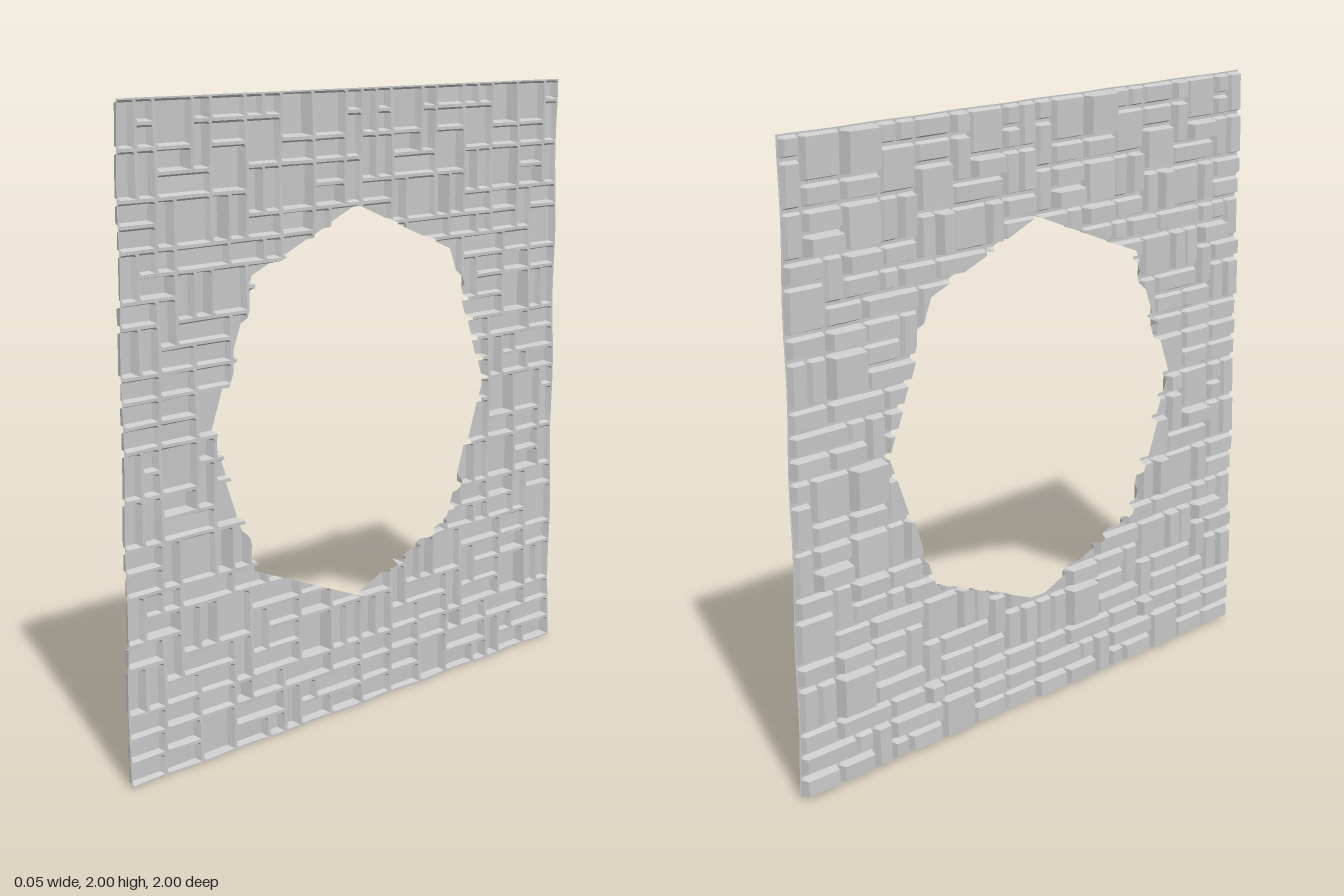
import * as THREE from 'three';

const CELLS = 14;                    // stone cells per repeat; the wall repeats 2 x 2
const CUTS = [0, 0.07, 0.17, 0.83, 0.93]; // grid lines per cell: joint, bevel, face
const SHIFT = 0.003;

// Boldest stones: [column (z), row (y), width, height, face x]
const BOLD = [
  [3, 12, 2, 2, -0.028], [8, 8, 1, 2, -0.028], [1, 9, 2, 1, -0.027],
  [3, 8, 2, 1, -0.023], [2, 3, 2, 2, -0.027], [7, 2, 1, 1, -0.025],
  [10, 11, 2, 1, -0.028], [2, 5, 2, 1, -0.023], [11, 6, 2, 1, -0.026],
];

function seeded(seed) {
  return () => {
    seed = (seed * 16807) % 2147483647;
    return seed / 2147483647;
  };
}

// Fill one square repeat with stones of one to four cells
function layStones() {
  const rand = seeded(4127);
  const owner = new Array(CELLS * CELLS).fill(null);
  const free = (c, r, w, h) => {
    if (c + w > CELLS || r + h > CELLS) return false;
    for (let i = c; i < c + w; i++)
      for (let j = r; j < r + h; j++) if (owner[j * CELLS + i]) return false;
    return true;
  };
  const place = (c, r, w, h, x) => {
    const stone = { c, r, w, h, x, ty: (rand() - 0.5) * 0.006, tz: (rand() - 0.5) * 0.006 };
    for (let i = c; i < c + w; i++)
      for (let j = r; j < r + h; j++) owner[j * CELLS + i] = stone;
  };
  BOLD.forEach((b) => place(...b));
  const sizes = [[2, 2], [3, 1], [2, 1], [1, 2], [2, 1], [1, 1]];
  for (let r = 0; r < CELLS; r++)
    for (let c = 0; c < CELLS; c++) {
      if (owner[r * CELLS + c]) continue;
      const first = Math.floor(rand() * sizes.length);
      const [w, h] = sizes.slice(first).find(([a, b]) => free(c, r, a, b)) || [1, 1];
      place(c, r, w, h, -0.003 - 0.013 * rand());
    }
  return owner;
}

// Relief: x of the surface at a grid point, measured in cells (u along z, v along y)
function makeRelief(owner) {
  const wrap = (a) => ((a % CELLS) + CELLS) % CELLS;
  return (u, v) => {
    const a = wrap(u), b = wrap(v);
    const s = owner[Math.floor(b) * CELLS + Math.floor(a)];
    const p = a - s.c, q = b - s.r;
    const edge = Math.min(p, s.w - p, q, s.h - q);
    const t = THREE.MathUtils.clamp((edge - 0.07) / 0.1, 0, 1);
    const k = (2 * Math.PI) / CELLS;
    const joint = 0.014 + 0.004 * Math.sin(3 * k * a + 1) * Math.cos(2 * k * b);
    const face = s.x + s.tz * (p / s.w - 0.5) + s.ty * (q / s.h - 0.5);
    return THREE.MathUtils.lerp(joint, face, t) + SHIFT;
  };
}

// Points are [x, y, z]; split a polygon by the line a-b in the zy plane
function split(poly, a, b) {
  const side = (p) => (b[0] - a[0]) * (p[1] - a[1]) - (b[1] - a[1]) * (p[2] - a[0]);
  const inside = [], outside = [];
  poly.forEach((p, i) => {
    const q = poly[(i + 1) % poly.length];
    const sp = side(p), sq = side(q);
    if (sp >= 0) inside.push(p);
    if (sp <= 0) outside.push(p);
    if (sp * sq < 0) {
      const m = p.map((n, k) => n + (q[k] - n) * (sp / (sp - sq)));
      inside.push(m);
      outside.push(m);
    }
  });
  return [inside, outside];
}

function wallGeometry() {
  const relief = makeRelief(layStones());
  const lines = [];
  for (let c = 0; c < 2 * CELLS; c++) CUTS.forEach((f) => lines.push(c + f));
  lines.push(2 * CELLS);

  // Eight-sided opening as [z, y]
  const hole = Array.from({ length: 8 }, (_, i) => {
    const r = i % 2 ? 0.648 : 0.636, t = (i * Math.PI) / 4;
    return [r * Math.cos(t), 1 + r * Math.sin(t)];
  });

  const positions = [];
  const emit = (poly) => {
    for (let i = 1; i + 1 < poly.length; i++)
      positions.push(...poly[0], ...poly[i], ...poly[i + 1]);
  };
  const point = (u, v) => [relief(u, v), v / CELLS, u / CELLS - 1];

  for (let i = 0; i + 1 < lines.length; i++)
    for (let j = 0; j + 1 < lines.length; j++) {
      const [u0, u1, v0, v1] = [lines[i], lines[i + 1], lines[j], lines[j + 1]];
      let rest = [point(u0, v0), point(u1, v0), point(u1, v1), point(u0, v1)];
      const far = rest.every((p) => Math.hypot(p[2], p[1] - 1) > 0.66);
      if (far) {
        emit(rest);
        continue;
      }
      // Keep whatever lies beyond each side of the opening, drop the remainder
      for (let k = 0; k < 8 && rest.length > 2; k++) {
        const [inside, outside] = split(rest, hole[k], hole[(k + 1) % 8]);
        emit(outside);
        rest = inside;
      }
    }

  const geometry = new THREE.BufferGeometry();
  geometry.setAttribute('position', new THREE.Float32BufferAttribute(positions, 3));
  geometry.computeVertexNormals();
  return geometry;
}

export function createModel() {
  const group = new THREE.Group();
  group.name = 'stoneWallWithOpening';
  const stone = new THREE.MeshStandardMaterial({
    color: 0xcccccc, flatShading: true, side: THREE.DoubleSide,
  });
  const wall = new THREE.Mesh(wallGeometry(), stone);
  wall.name = 'stoneWall';
  group.add(wall);
  return group;
}
